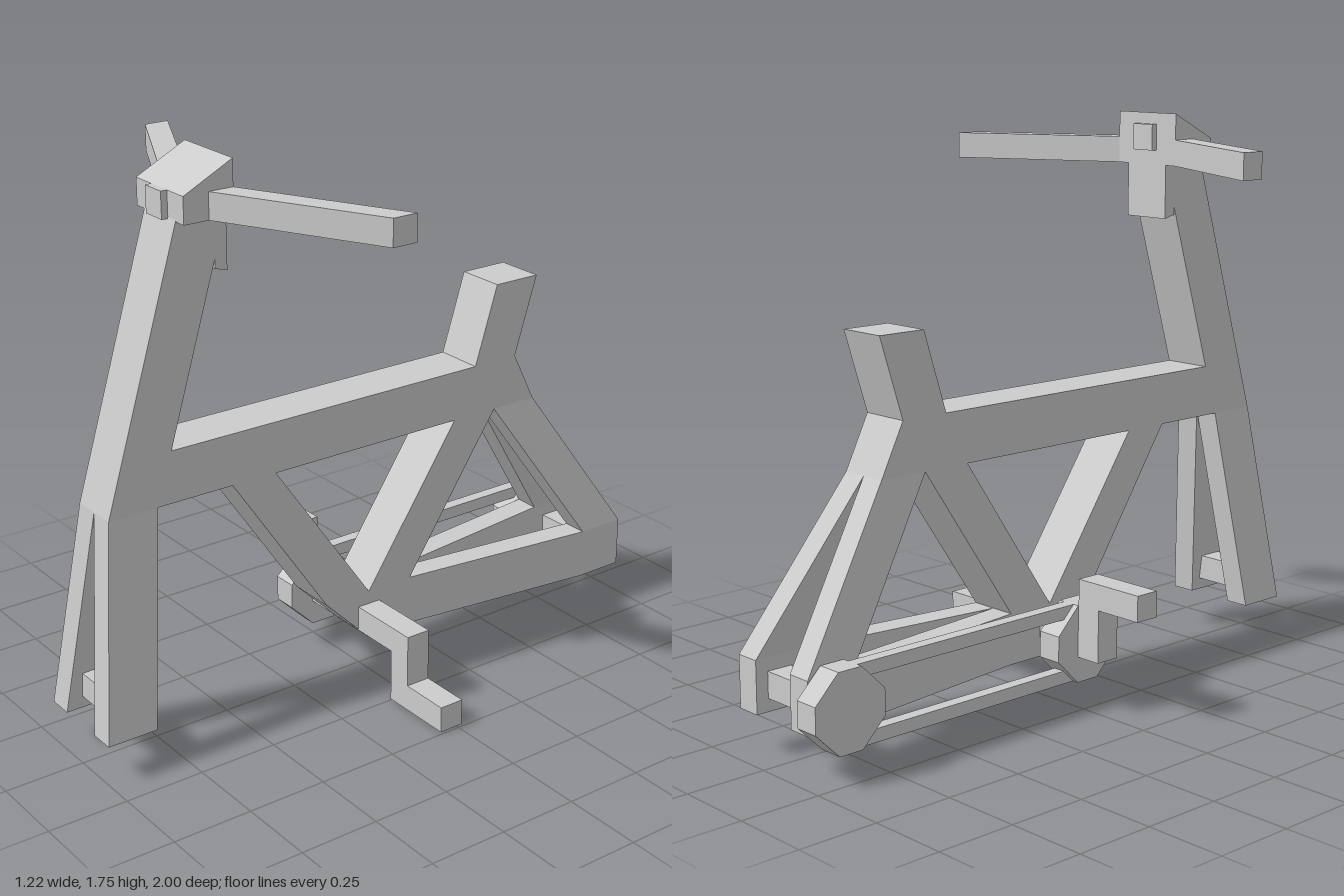
import * as THREE from 'three';

const material = new THREE.MeshStandardMaterial({ color: 0xcccccc, flatShading: true });

function shapeOf(points) {
  return new THREE.Shape(points.map(([a, b]) => new THREE.Vector2(a, b)));
}

// Extrude a side profile of [z, y] points across x, centred on cx
function sideProfile(shape, width, cx = 0) {
  const geo = new THREE.ExtrudeGeometry(shape, { depth: width, bevelEnabled: false });
  return geo.translate(0, 0, -width / 2).rotateY(-Math.PI / 2).translate(cx, 0, 0);
}

// Shift each vertex sideways by a rule of its y and z
function splay(geo, rule) {
  const p = geo.attributes.position;
  for (let i = 0; i < p.count; i++) p.setX(i, p.getX(i) + rule(p.getY(i), p.getZ(i)));
  geo.computeVertexNormals();
  return geo;
}

export function createModel() {
  const model = new THREE.Group();
  const add = (name, geo) => {
    const mesh = new THREE.Mesh(geo, material);
    mesh.name = name;
    model.add(mesh);
    return mesh;
  };
  const box = (name, w, h, d, x, y, z) =>
    add(name, new THREE.BoxGeometry(w, h, d).translate(x, y, z));

  // Main frame: steering column, top tube, seat post, down tube and seat tube
  const frame = shapeOf([
    [0.92, 0.78], [0.67, 1.6], [0.51, 1.6], [0.71, 0.94], [-0.39, 0.94], [-0.47, 1.19],
    [-0.63, 1.19], [-0.55, 0.94], [-0.63, 0.78], [-0.47, 0.78], [-0.14, 0.29],
    [-0.14, 0.13], [0.02, 0.13], [0.18, 0.29], [0.51, 0.78], [0.76, 0.78],
  ]);
  frame.holes.push(new THREE.Path([[0.36, 0.78], [0.02, 0.29], [-0.31, 0.78]]
    .map(([z, y]) => new THREE.Vector2(z, y))));
  add('mainFrame', sideProfile(frame, 0.16));

  // Splayed pairs: fork legs, seat stays, chain stays and rear dropouts
  const forkLeg = shapeOf([[0.92, 0.78], [0.76, 0.78], [0.84, 0.13], [1, 0.13]]);
  const seatStay = shapeOf([[-0.47, 0.78], [-0.63, 0.78], [-0.96, 0.29], [-0.8, 0.29]]);
  const chainStay = shapeOf([[-0.14, 0.29], [-0.8, 0.29], [-0.8, 0.13], [-0.14, 0.13]]);
  for (const [side, s] of [['left', 1], ['right', -1]]) {
    const pair = (name, shape, rule) =>
      add(side + name, splay(sideProfile(shape, 0.08, s * 0.04), (y, z) => s * 0.08 * rule(y, z)));
    pair('ForkLeg', forkLeg, (y) => (0.78 - y) / 0.65);
    pair('SeatStay', seatStay, (y) => (0.78 - y) / 0.49);
    pair('ChainStay', chainStay, (y, z) => (-0.14 - z) / 0.66);
    box(side + 'Dropout', 0.08, 0.16, 0.16, s * 0.12, 0.21, -0.88);

    // Handlebar swept backwards, with ends cut square to x
    const bar = new THREE.BoxGeometry(0.53, 0.08, 0.08).translate(s * 0.345, 1.635, 0);
    const p = bar.attributes.position;
    for (let i = 0; i < p.count; i++) {
      p.setZ(i, p.getZ(i) + 0.55 - 0.5 * (Math.abs(p.getX(i)) - 0.12));
    }
    bar.computeVertexNormals();
    add(side + 'Handlebar', bar);
  }
  box('frontAxle', 0.2, 0.08, 0.08, 0, 0.21, 0.91);
  box('rearAxle', 0.36, 0.08, 0.08, -0.06, 0.21, -0.88);

  // Handlebar head with sloping top, rear tab and two small lamps
  add('handlebarHead', sideProfile(
    shapeOf([[0.67, 1.595], [0.67, 1.675], [0.51, 1.755], [0.51, 1.595]]), 0.24));
  add('headTab', sideProfile(
    shapeOf([[0.51, 1.6], [0.51, 1.43], [0.55, 1.44], [0.55, 1.6]]), 0.16));
  box('frontLamp', 0.08, 0.08, 0.04, 0, 1.635, 0.67);
  box('rearDisplay', 0.08, 0.08, 0.04, 0, 1.68, 0.51);

  // Chainring and sprocket: squares with the corners cut off
  const wheel = (z) => shapeOf([
    [0.04, 0.12], [-0.04, 0.12], [-0.12, 0.04], [-0.12, -0.04],
    [-0.04, -0.12], [0.04, -0.12], [0.12, -0.04], [0.12, 0.04],
  ].map(([a, b]) => [a + z, b + 0.207]));
  add('chainring', sideProfile(wheel(0.02), 0.08, -0.205));
  add('sprocket', sideProfile(wheel(-0.88), 0.08, -0.205));
  box('upperChain', 0.04, 0.04, 0.82, -0.205, 0.307, -0.43);
  box('lowerChain', 0.04, 0.04, 0.82, -0.205, 0.107, -0.43);

  // Crank axle, crank arms and pedals as one stepped bar
  const crank = shapeOf([
    [-0.33, 0.167], [0.245, 0.167], [0.245, 0], [0.49, 0], [0.49, 0.083], [0.327, 0.083],
    [0.327, 0.248], [-0.247, 0.248], [-0.247, 0.41], [-0.49, 0.41], [-0.49, 0.33], [-0.33, 0.33],
  ]);
  add('crankAndPedals', new THREE.ExtrudeGeometry(crank, { depth: 0.08, bevelEnabled: false })
    .translate(0, 0, -0.02));

  return model;
}
